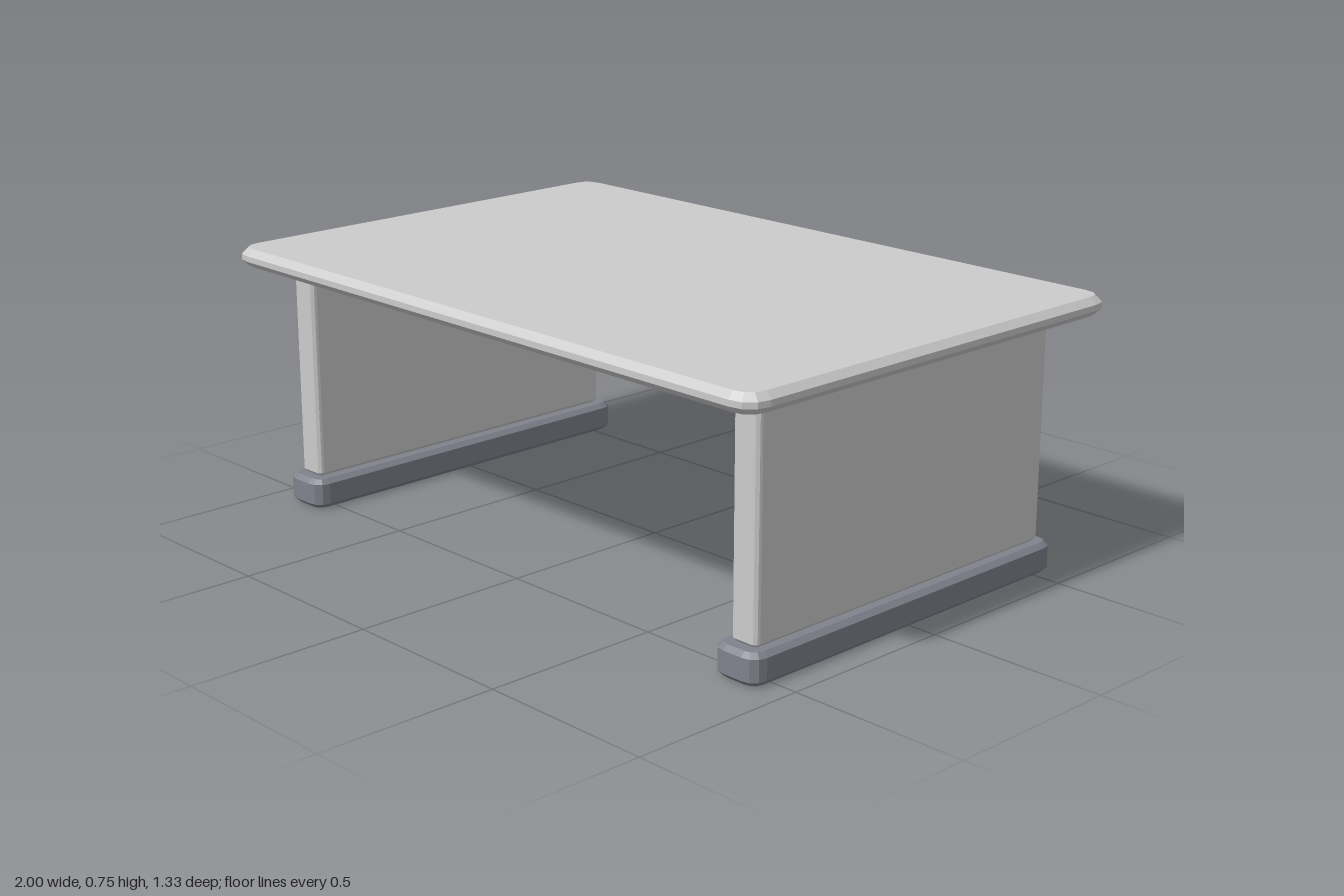
import * as THREE from 'three';

const material = (color = 0xcccccc) => new THREE.MeshStandardMaterial({ color });
const lightGrey = material();
const darkGrey = material(0x80828c);

// Horizontal slab with rounded plan corners and chamfered top and bottom edges
function slab(name, w, h, d, radius, bevel, mat) {
  const x = w / 2 - bevel, z = d / 2 - bevel, r = Math.max(radius - bevel, 0.002);
  const s = new THREE.Shape();
  s.moveTo(-x + r, -z);
  s.lineTo(x - r, -z);
  s.quadraticCurveTo(x, -z, x, -z + r);
  s.lineTo(x, z - r);
  s.quadraticCurveTo(x, z, x - r, z);
  s.lineTo(-x + r, z);
  s.quadraticCurveTo(-x, z, -x, z - r);
  s.lineTo(-x, -z + r);
  s.quadraticCurveTo(-x, -z, -x + r, -z);
  const geo = new THREE.ExtrudeGeometry(s, {
    depth: h - 2 * bevel, bevelEnabled: true, bevelThickness: bevel,
    bevelSize: bevel, bevelSegments: 1, curveSegments: 3,
  });
  geo.rotateX(-Math.PI / 2);
  geo.translate(0, bevel, 0);
  const mesh = new THREE.Mesh(geo, mat);
  mesh.name = name;
  return mesh;
}

function box(name, w, h, d, x, y, z, mat) {
  const mesh = new THREE.Mesh(new THREE.BoxGeometry(w, h, d), mat);
  mesh.name = name;
  mesh.position.set(x, y, z);
  return mesh;
}

export function createModel() {
  const desk = new THREE.Group();
  desk.name = 'desk';

  // Table top
  const top = slab('tableTop', 2, 0.052, 1.33, 0.07, 0.018, lightGrey);
  top.position.y = 0.698;
  desk.add(top);

  // Side panels standing on wider feet
  for (const [side, sign] of [['left', 1], ['right', -1]]) {
    const panel = slab(side + 'SidePanel', 0.084, 0.62, 1.07, 0.018, 0.015, lightGrey);
    panel.position.set(sign * 0.86, 0.08, 0);
    const foot = slab(side + 'Foot', 0.146, 0.085, 1.136, 0.045, 0.013, darkGrey);
    foot.position.set(sign * 0.858, 0, 0);
    desk.add(panel, foot);
  }

  // Cross beam under the top, with a thin light strip on its front
  const beam = slab('crossBeam', 1.63, 0.08, 0.09, 0.016, 0.01, darkGrey);
  beam.position.y = 0.565;
  desk.add(beam);
  desk.add(box('lightStrip', 1.34, 0.014, 0.01, 0, 0.603, 0.045, material(0xa080e0)));

  // Small control plate with a button inside the left panel
  desk.add(box('controlPlate', 0.09, 0.13, 0.02, 0.775, 0.335, -0.05, darkGrey));
  desk.add(box('controlButton', 0.04, 0.05, 0.01, 0.8, 0.337, -0.037, material(0xe8b060)));

  return desk;
}
